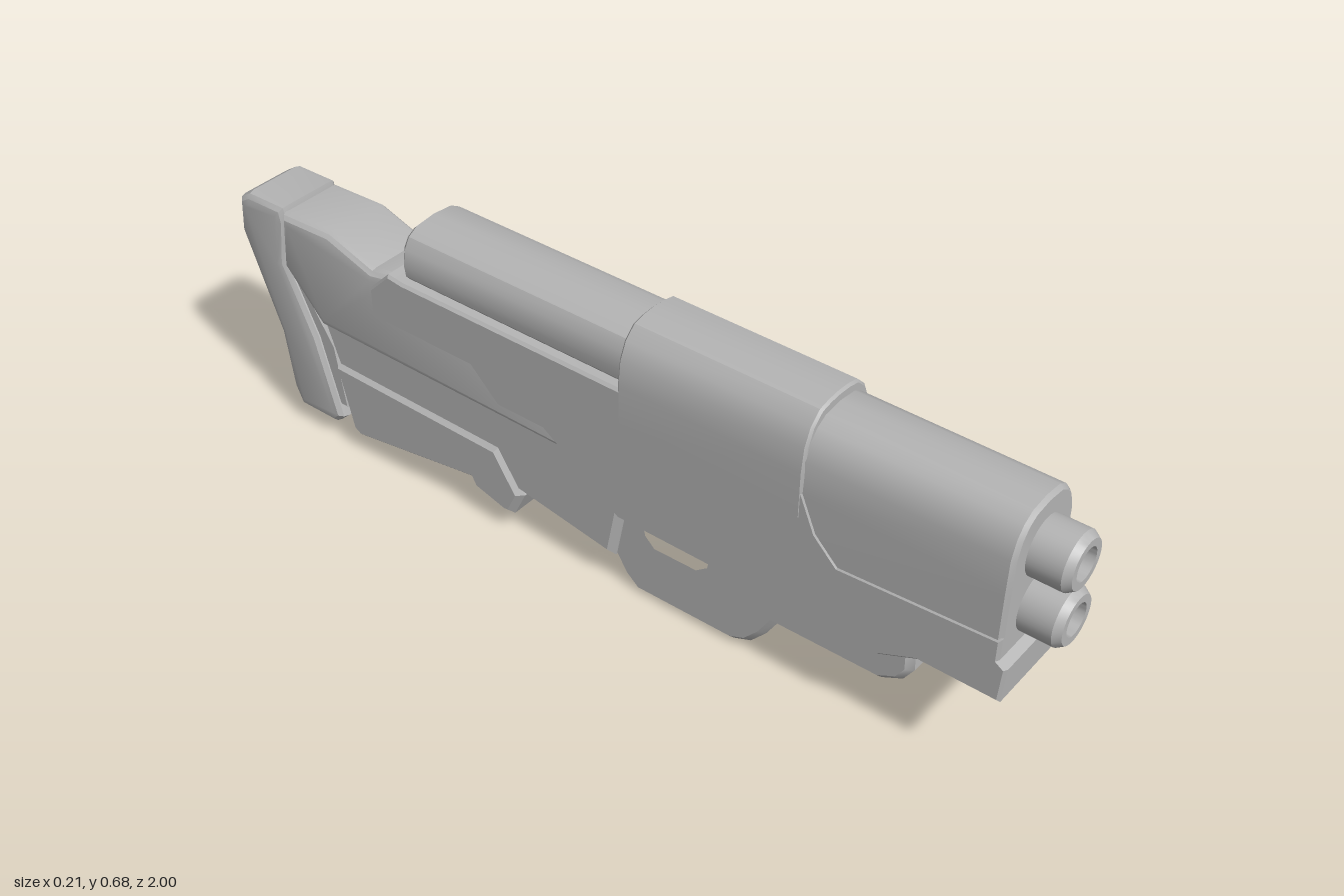
import * as THREE from 'three';
import { toCreasedNormals } from 'three/addons/utils/BufferGeometryUtils.js';

export function createModel() {
  const group = new THREE.Group();
  const grey = new THREE.MeshStandardMaterial({ color: 0xb4b4b4 });
  grey.name = 'grey';

  const add = (name, geometry, crease = 0.5) => {
    const mesh = new THREE.Mesh(toCreasedNormals(geometry, crease), grey);
    mesh.name = name;
    group.add(mesh);
    return mesh;
  };
  const toVec = (pts) => pts.map(([a, b]) => new THREE.Vector2(a, b));

  // Extrusion of a given total length with chamfered ends that keep the outline's size
  const slab = (pts, length, bevel, holes = [], segments = 1) => {
    const shape = new THREE.Shape(toVec(pts));
    holes.forEach((h) => shape.holes.push(new THREE.Path(toVec(h))));
    return new THREE.ExtrudeGeometry(shape, {
      depth: length - 2 * bevel, bevelEnabled: true, bevelThickness: bevel,
      bevelSize: bevel, bevelOffset: -bevel, bevelSegments: segments,
    }).translate(0, 0, bevel - length / 2);
  };
  // Side profile in (z, y), spread across x
  const profile = (name, pts, half, bevel, holes, segments) =>
    add(name, slab(pts, half * 2, bevel, holes, segments).rotateY(-Math.PI / 2));
  // Mirrored cross-section in (x, y), running along z
  const section = (name, right, z0, z1, bevel) => {
    const left = right.filter(([x]) => x > 0).map(([x, y]) => [-x, y]).reverse();
    add(name, slab([...right, ...left], z1 - z0, bevel).translate(0, 0, (z0 + z1) / 2), 0.45);
  };

  // Main body side plates and belly
  profile('body', [
    [0.93, 0.258], [0.935, 0.34], [0.917, 0.352], [0.917, 0.4], [0.58, 0.38],
    [0.53, 0.43], [0.5, 0.5], [0.48, 0.54], [-0.49, 0.54], [-0.53, 0.545], [-0.585, 0.49],
    [-0.585, 0.42], [-0.31, 0.42], [-0.24, 0.352], [-0.12, 0.352],
    [0.07, 0.222], [0.68, 0.222], [0.76, 0.258],
  ], 0.105, 0.006);

  // Rounded covers on top of the body
  section('frontShroud', [
    [0.102, 0.3], [0.102, 0.5], [0.1, 0.575], [0.088, 0.612], [0.07, 0.635], [0.045, 0.65], [0, 0.655],
  ], 0.45, 0.917, 0.008);
  section('receiverCover', [
    [0.106, 0.45], [0.106, 0.55], [0.1, 0.605], [0.084, 0.642], [0.058, 0.667], [0.03, 0.673], [0, 0.675],
  ], 0.07, 0.495, 0.005);
  section('rearTube', [
    [0.07, 0.53], [0.09, 0.552], [0.094, 0.58], [0.088, 0.615], [0.074, 0.638], [0.05, 0.652], [0, 0.657],
  ], -0.5, 0.1, 0.012);

  // Twin muzzles with open bores
  for (const y of [0.55, 0.423]) {
    const ring = toVec([
      [0.06, 0], [0.06, 0.115], [0.05, 0.13], [0.034, 0.13], [0.032, 0.06], [0, 0.06],
    ]);
    add('muzzle', new THREE.LatheGeometry(ring, 32).rotateX(Math.PI / 2).translate(0, y, 0.87));
  }

  // Foregrip and trigger guard with their openings
  profile('gripFrame', [
    [0.725, 0.24], [0.727, 0.165], [0.705, 0.13], [0.66, 0.106], [0.42, 0.102],
    [0.395, 0.06], [0.36, 0.02], [0.32, 0.003], [0.08, 0], [0.045, 0.03],
    [0.02, 0.07], [-0.08, 0.09], [-0.08, 0.27], [0.7, 0.27],
  ], 0.056, 0.014, [
    [[0.545, 0.24], [0.545, 0.18], [0.455, 0.172], [0.445, 0.24]],
    [[0.285, 0.24], [0.27, 0.155], [0.235, 0.128], [0.12, 0.126], [0.09, 0.155], [0.07, 0.24]],
  ]);

  // Stock: grip side, raised lower panel, and upper rail
  profile('stockGrip', [
    [0.06, 0.235], [0.03, 0.075], [-0.24, 0.118], [-0.69, 0.06],
    [-0.78, 0.32], [-0.1, 0.35],
  ], 0.074, 0.015);
  profile('stockPanel', [
    [-0.205, 0.115], [-0.235, 0.052], [-0.255, 0.05], [-0.34, 0.074], [-0.35, 0.092],
    [-0.68, 0.04], [-0.705, 0.055], [-0.745, 0.22], [-0.27, 0.215],
  ], 0.084, 0.014);
  profile('stockRail', [
    [-0.02, 0.305], [-0.765, 0.305], [-0.87, 0.42], [-0.86, 0.55], [-0.72, 0.555],
    [-0.6, 0.515], [-0.55, 0.525], [-0.45, 0.5], [-0.1, 0.4],
  ], 0.088, 0.022, [], 3);

  // Shoulder pad and the rib joining it to the stock
  profile('shoulderPad', [
    [-0.852, 0.525], [-0.86, 0.562], [-0.965, 0.56], [-0.995, 0.54], [-1, 0.46],
    [-0.965, 0.37], [-0.91, 0.23], [-0.89, 0.09], [-0.868, 0.042], [-0.76, 0.042],
    [-0.735, 0.065], [-0.79, 0.26], [-0.865, 0.42],
  ], 0.085, 0.024, [], 3);
  profile('padRib', [
    [-0.72, 0.09], [-0.78, 0.09], [-0.82, 0.28], [-0.9, 0.44], [-0.84, 0.4], [-0.745, 0.25],
  ], 0.07, 0.008);

  return group;
}
